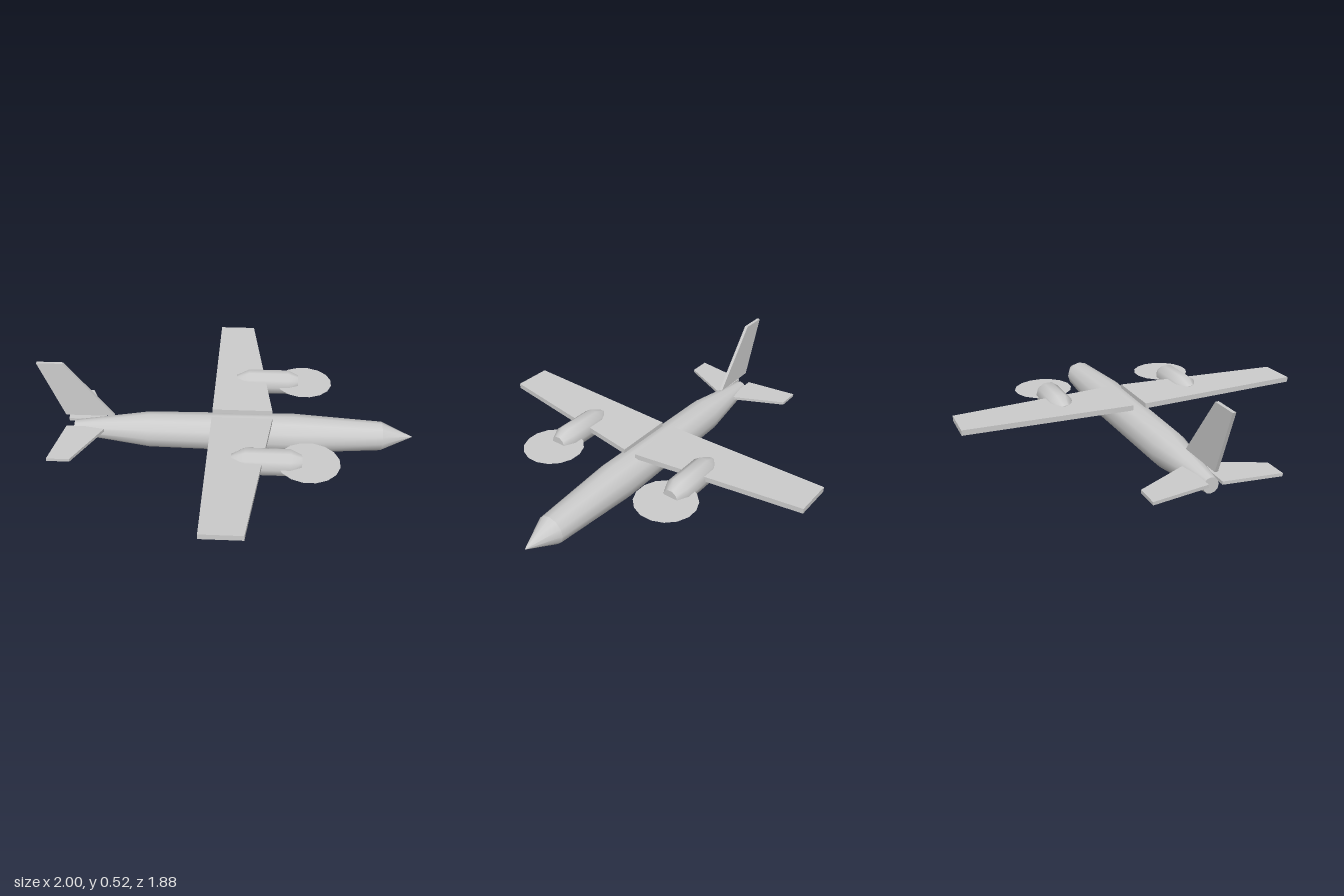
import * as THREE from 'three';
import { toCreasedNormals } from 'three/addons/utils/BufferGeometryUtils.js';

export function createModel() {
  const group = new THREE.Group();
  const material = new THREE.MeshStandardMaterial({ color: 0xcccccc });
  const thinMaterial = new THREE.MeshStandardMaterial({ color: 0xcccccc, side: THREE.DoubleSide });

  const add = (name, geometry, x = 0, y = 0, z = 0, mat = material) => {
    const mesh = new THREE.Mesh(geometry, mat);
    mesh.name = name;
    mesh.position.set(x, y, z);
    group.add(mesh);
    return mesh;
  };

  // Round body lying along x, from [x, radius] stations running tail to nose
  const body = (stations, sides) => {
    const points = stations.map(([x, r]) => new THREE.Vector2(r, x));
    const geometry = new THREE.LatheGeometry(points, sides).rotateZ(-Math.PI / 2);
    return toCreasedNormals(geometry, 0.9);
  };

  // Flat plate with the given outline, centred on its thickness
  const plate = (outline, thickness) => {
    const shape = new THREE.Shape(outline.map(([a, b]) => new THREE.Vector2(a, b)));
    return new THREE.ExtrudeGeometry(shape, { depth: thickness, bevelEnabled: false })
      .translate(0, 0, -thickness / 2);
  };

  // Horizontal surface: outline is [x, span], rising outwards by the dihedral slope
  const wing = (outline, thickness, side, dihedral = 0) => {
    const geometry = plate(outline.map(([x, s]) => [x, s * side]), thickness).rotateX(Math.PI / 2);
    const p = geometry.attributes.position;
    for (let i = 0; i < p.count; i++) p.setY(i, p.getY(i) + Math.abs(p.getZ(i)) * dihedral);
    geometry.computeVertexNormals();
    return geometry;
  };

  // Fuselage and pointed nose
  add('fuselage', body([[-0.84, 0], [-0.84, 0.04], [-0.43, 0.097], [0.36, 0.107], [0.83, 0.078]], 12), 0, 0.109);
  add('noseCone', body([[0.83, 0.078], [1, 0]], 12), 0, 0.109);

  // Upright tail fin
  add('tailFin', plate([[-0.88, 0.195], [-0.615, 0.195], [-0.86, 0.517], [-1, 0.517]], 0.017));

  const wingOutline = [[-0.085, 0.035], [0.24, 0.035], [0.12, 0.938], [-0.085, 0.938]];
  const tailOutline = [[-0.88, 0.035], [-0.66, 0.035], [-0.8, 0.325], [-0.92, 0.325]];
  const nacelle = [[0.035, 0], [0.035, 0.036], [0.105, 0.07], [0.33, 0.07], [0.387, 0.042], [0.387, 0]];

  // Mirrored pairs; the nose points to +x, so +z is the starboard side
  for (const [side, label] of [[1, 'starboard'], [-1, 'port']]) {
    add(label + 'Wing', wing(wingOutline, 0.028, side, 0.02), 0, 0.212);
    add(label + 'Tailplane', wing(tailOutline, 0.016, side), 0, 0.132);
    add(label + 'EngineNacelle', body(nacelle, 10), 0, 0.202, side * 0.37);
    // Rotor disc lying flat ahead of the nacelle
    const disc = new THREE.CircleGeometry(0.159, 16, Math.PI / 16).rotateX(-Math.PI / 2);
    add(label + 'RotorDisc', disc, 0.42, 0.205, side * 0.37, thinMaterial);
  }

  return group;
}
